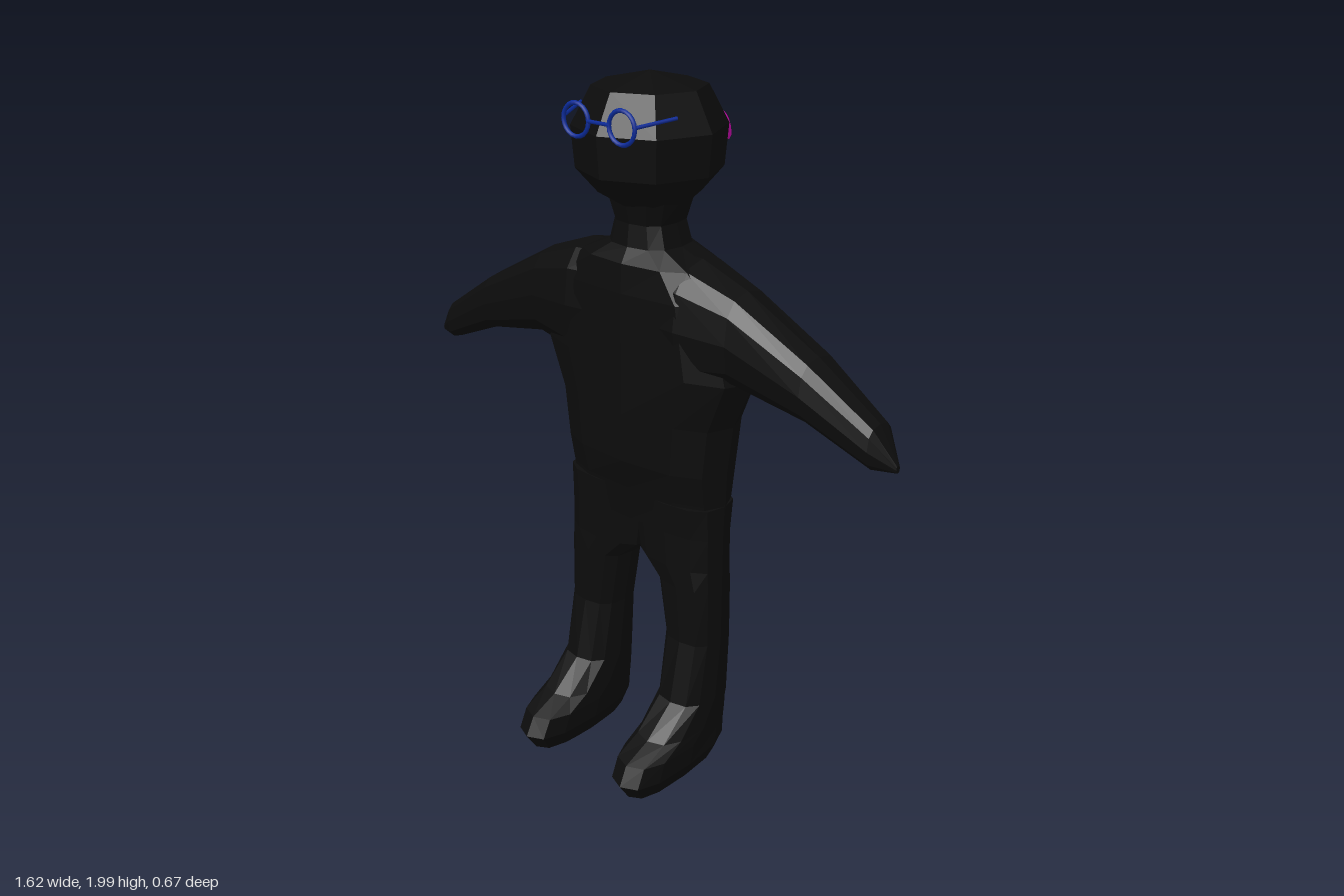
import * as THREE from 'three';

const CX = 0.02; // the body sits slightly off centre

// Rounded-rectangle cross-section: 12 [u, v] points spanning the given limits
function section(u0, u1, v0, v1) {
  const soft = (t) => Math.sign(t) * Math.pow(Math.abs(t), 0.75);
  return Array.from({ length: 12 }, (_, i) => {
    const a = (i / 12) * Math.PI * 2;
    return [
      (u0 + u1) / 2 + ((u1 - u0) / 2) * soft(Math.cos(a)),
      (v0 + v1) / 2 + ((v1 - v0) / 2) * soft(Math.sin(a)),
    ];
  });
}

// Skin a list of rings of Vector3 and close both ends, facing outwards
function loft(rings) {
  const n = rings[0].length;
  const tris = [];
  for (let r = 0; r < rings.length - 1; r++) {
    for (let i = 0; i < n; i++) {
      const j = (i + 1) % n;
      const [a, b, c, d] = [rings[r][i], rings[r][j], rings[r + 1][j], rings[r + 1][i]];
      tris.push([a, b, c], [a, c, d]);
    }
  }
  const first = rings[0], last = rings[rings.length - 1];
  for (let i = 1; i < n - 1; i++) {
    tris.push([first[0], first[i + 1], first[i]], [last[0], last[i], last[i + 1]]);
  }
  const cross = new THREE.Vector3();
  const volume = tris.reduce((s, [a, b, c]) => s + a.dot(cross.crossVectors(b, c)), 0);
  const points = tris.flatMap(([a, b, c]) => (volume < 0 ? [a, c, b] : [a, b, c]));
  const geo = new THREE.BufferGeometry().setFromPoints(points);
  geo.computeVertexNormals();
  return geo;
}

// Rows of [y, x0, x1, zBack, zFront]
const loftUp = (rows, side = 1) => loft(rows.map(([y, x0, x1, z0, z1]) =>
  section(x0, x1, z0, z1).map(([x, z]) => new THREE.Vector3(CX + side * x, y, z))));

// Rows of [x, yBottom, yTop, zBack, zFront]
const loftOut = (rows, side, drop) => loft(rows.map(([x, y0, y1, z0, z1]) =>
  section(y0, y1, z0, z1).map(([y, z]) => new THREE.Vector3(side * x, y - drop, z))));

export function createModel() {
  const black = new THREE.MeshStandardMaterial({ color: 0x0c0c0c, flatShading: true });
  black.name = 'black skin';
  const pink = new THREE.MeshStandardMaterial({ color: 0xd60cb8 });
  pink.name = 'pink hair';
  const blue = new THREE.MeshStandardMaterial({ color: 0x0a2a98 });
  blue.name = 'blue frame';

  const model = new THREE.Group();
  model.name = 'figure';
  const add = (name, geo, mat, parent = model) => {
    const mesh = new THREE.Mesh(geo, mat);
    mesh.name = name;
    parent.add(mesh);
    return mesh;
  };

  // Faceted head
  const profile = [[0, 1.64], [0.1, 1.67], [0.135, 1.69], [0.193, 1.755], [0.203, 1.865], [0.15, 1.965], [0, 2]];
  const head = add('head', new THREE.LatheGeometry(profile.map(([r, y]) => new THREE.Vector2(r, y)), 8), black);
  head.position.x = CX;

  // Neck, shoulders, chest and hips
  add('torso', loftUp([
    [1.69, -0.11, 0.11, -0.105, 0.1],
    [1.62, -0.088, 0.088, -0.09, 0.083],
    [1.56, -0.105, 0.105, -0.1, 0.09],
    [1.52, -0.2, 0.2, -0.128, 0.113],
    [1.44, -0.29, 0.29, -0.132, 0.117],
    [1.24, -0.345, 0.345, -0.132, 0.117],
    [1.1, -0.285, 0.285, -0.132, 0.117],
    [0.96, -0.268, 0.268, -0.13, 0.115],
    [0.87, -0.264, 0.264, -0.112, 0.092],
    [0.77, -0.262, 0.262, -0.088, 0.08],
    [0.68, -0.262, 0.262, -0.085, 0.08],
  ].slice(0, 10)), black);

  for (const side of [1, -1]) {
    const label = side > 0 ? 'left' : 'right';

    // Arm tapering to a pointed hand
    add(label + 'Arm', loftOut([
      [0.08, 1.2, 1.545, -0.12, 0.105],
      [0.19, 1.2, 1.54, -0.132, 0.11],
      [0.34, 1.235, 1.485, -0.102, 0.086],
      [0.56, 1.195, 1.362, -0.095, 0.07],
      [0.747, 1.118, 1.235, -0.068, 0.042],
      [0.81, 1.125, 1.145, -0.012, 0.004],
    ], side, side > 0 ? 0 : 0.01), black);

    // Leg running down into a forward-pointing foot
    add(label + 'Leg', loftUp([
      [0.86, -0.02, 0.264, -0.1, 0.088],
      [0.77, -0.02, 0.264, -0.085, 0.08],
      [0.67, -0.005, 0.264, -0.085, 0.08],
      [0.61, 0.068, 0.264, -0.085, 0.08],
      [0.44, 0.097, 0.264, -0.085, 0.08],
      [0.26, 0.1, 0.264, -0.085, 0.12],
      [0.18, 0.1, 0.264, -0.085, 0.22],
      [0.145, 0.1, 0.264, -0.085, 0.31],
      [0.09, 0.102, 0.264, -0.083, 0.338],
      [0.035, 0.125, 0.239, -0.06, 0.3],
      [0.008, 0.15, 0.214, -0.01, 0.2],
    ], side), black);
  }

  // Curved ponytail, tapered towards the tip
  const path = new THREE.CatmullRomCurve3([
    new THREE.Vector3(0.017, 1.862, -0.185),
    new THREE.Vector3(0.017, 1.855, -0.25),
    new THREE.Vector3(0.017, 1.825, -0.3),
    new THREE.Vector3(0.017, 1.768, -0.334),
  ]);
  const tail = new THREE.TubeGeometry(path, 16, 0.023, 12);
  const pos = tail.attributes.position;
  const p = new THREE.Vector3();
  for (let i = 0; i < pos.count; i++) {
    const t = Math.floor(i / 13) / 16;
    const centre = path.getPointAt(t);
    p.fromBufferAttribute(pos, i).sub(centre).multiplyScalar(Math.sqrt(1 - t ** 3)).add(centre);
    pos.setXYZ(i, p.x, p.y, p.z);
  }
  tail.computeVertexNormals();
  add('ponytail', tail, pink);

  // Round glasses with short temples
  const glasses = new THREE.Group();
  glasses.name = 'glasses';
  model.add(glasses);
  const rod = (name, a, b) => add(name, new THREE.TubeGeometry(
    new THREE.LineCurve3(new THREE.Vector3(...a), new THREE.Vector3(...b)), 1, 0.005, 6), blue, glasses);
  for (const side of [1, -1]) {
    const label = side > 0 ? 'left' : 'right';
    const rim = add(label + 'Rim', new THREE.TorusGeometry(0.042, 0.006, 6, 20), blue, glasses);
    rim.position.set(CX + side * 0.076, 1.895, 0.193);
    rod(label + 'Temple', [CX + side * 0.117, 1.9, 0.193], [CX + side * 0.16, 1.913, 0.085]);
  }
  rod('bridge', [CX - 0.036, 1.897, 0.195], [CX + 0.036, 1.897, 0.195]);

  return model;
}
